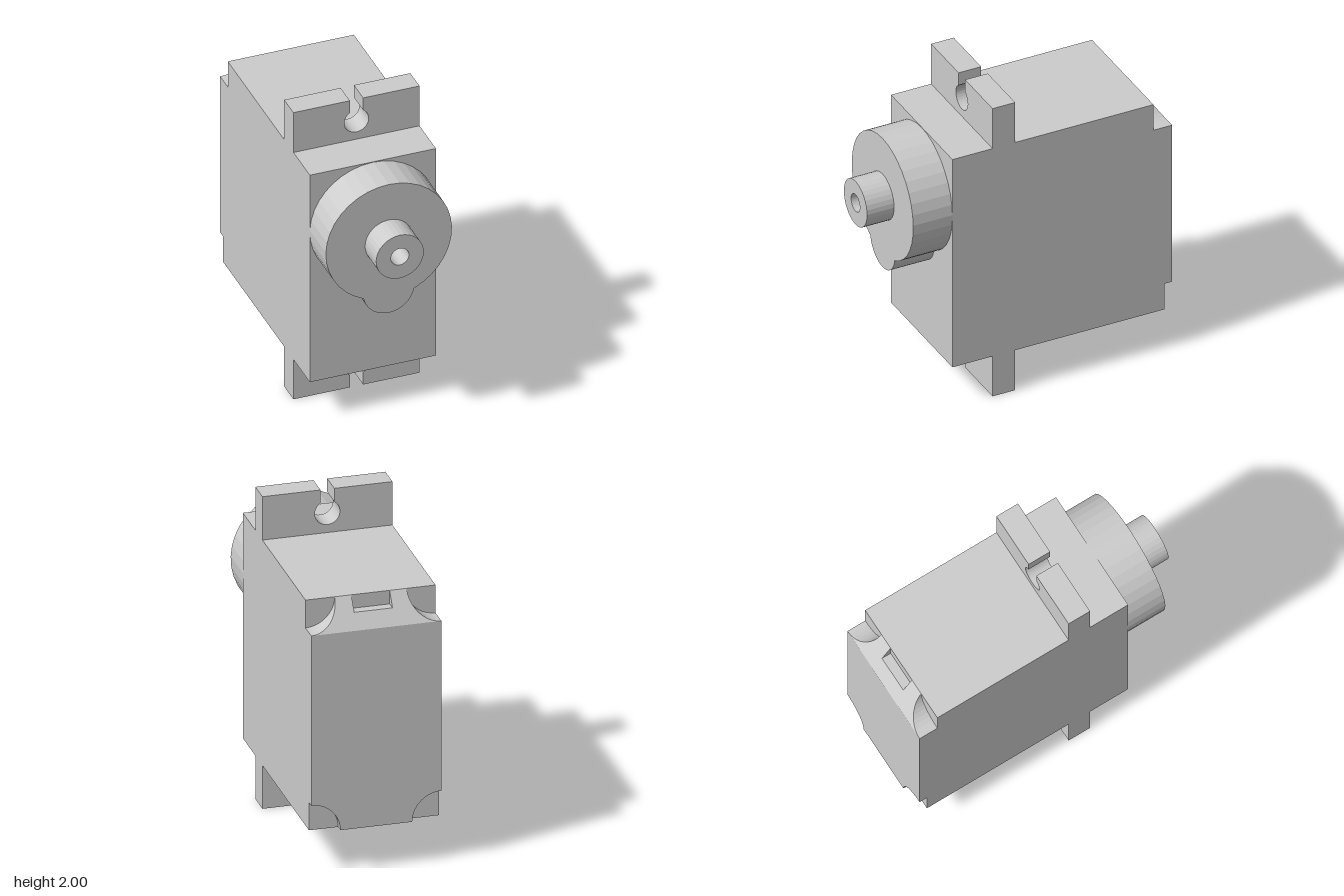
import * as THREE from 'three';

const HALF = 0.397;                       // half width of the case
const TOP = 1.722, BOTTOM = 0.278;        // case height range
const FRONT = 0.59, BACK = -0.856, BACK_TOP = -0.733;
const R = 0.178;                          // screw corner radius
const POCKET = 0.117;                     // half width of the rear pocket

// Side profile (z, y) of the case at a given x
function caseProfile(x, inPocket) {
  const d = HALF - Math.abs(x);
  const h = Math.sqrt(Math.max(0, R * R - d * d));
  const topCut = inPocket ? 1.635 : TOP - h;
  const lowCut = BOTTOM + h;
  const slopeZ = BACK_TOP - (TOP - topCut) * (BACK_TOP - BACK) / R;
  return [
    [FRONT, BOTTOM], [FRONT, TOP], [BACK_TOP, TOP], [BACK_TOP, topCut],
    [slopeZ, topCut], [BACK, TOP - R], [BACK, lowCut], [BACK + 0.05, lowCut],
    [BACK + 0.05, BOTTOM],
  ];
}

// Case lofted across its width, with screw corners, rear bevel and pocket
function caseGeometry() {
  const stations = [];
  const N = 10;
  for (let i = 0; i <= N; i++) {
    stations.push([-HALF + R * Math.sin((i / N) * Math.PI / 2), false]);
  }
  stations.push([-POCKET, false], [-POCKET, true], [POCKET, true], [POCKET, false]);
  for (let i = N; i >= 0; i--) {
    stations.push([HALF - R * Math.sin((i / N) * Math.PI / 2), false]);
  }
  const rings = stations.map(([x, p]) => caseProfile(x, p).map(([z, y]) => [x, y, z]));
  const pos = [];
  const tri = (a, b, c) => pos.push(...a, ...b, ...c);
  for (let i = 0; i < rings.length - 1; i++) {
    const A = rings[i], B = rings[i + 1];
    for (let k = 0; k < A.length; k++) {
      const n = (k + 1) % A.length;
      tri(A[k], B[k], B[n]);
      tri(A[k], B[n], A[n]);
    }
  }
  // side walls
  const first = rings[0], last = rings[rings.length - 1];
  const outline = first.map(([, y, z]) => new THREE.Vector2(z, y));
  for (const [a, b, c] of THREE.ShapeUtils.triangulateShape(outline, [])) {
    tri(first[a], first[b], first[c]);
    tri(last[a], last[c], last[b]);
  }
  const g = new THREE.BufferGeometry();
  g.setAttribute('position', new THREE.Float32BufferAttribute(pos, 3));
  g.computeVertexNormals();
  return g;
}

// Straight extrusion between two depths
function slab(shape, z0, z1, curveSegments = 16) {
  const g = new THREE.ExtrudeGeometry(shape, { depth: z1 - z0, bevelEnabled: false, curveSegments });
  return g.translate(0, 0, z0);
}

export function createModel() {
  const grey = new THREE.MeshStandardMaterial({ color: 0xcccccc });
  grey.name = 'light grey plastic';

  const model = new THREE.Group();
  model.name = 'servoMotor';
  const add = (name, geometry) => {
    const m = new THREE.Mesh(geometry, grey);
    m.name = name;
    model.add(m);
    return m;
  };

  add('case', caseGeometry());

  // Mounting ears with a screw hole open to the outer edge
  const slot = 0.042, hole = 0.077, a = Math.acos(slot / hole);
  const ear = new THREE.Shape();
  ear.moveTo(-HALF, TOP);
  ear.lineTo(HALF, TOP);
  ear.lineTo(HALF, 2);
  ear.lineTo(slot, 2);
  ear.absarc(0, 1.85, hole, a, Math.PI - a, true);
  ear.lineTo(-slot, 2);
  ear.lineTo(-HALF, 2);
  ear.closePath();
  const earGeometry = slab(ear, 0.177, 0.326, 12);
  add('upperMountingEar', earGeometry);
  const lower = add('lowerMountingEar', earGeometry);
  lower.rotation.z = Math.PI;
  lower.position.y = 2;

  // Round gear housing with a smaller lobe below it
  const cy = 1.322, ly = 0.985, lr = 0.16, d = cy - ly;
  const alpha = Math.acos((d * d + HALF * HALF - lr * lr) / (2 * d * HALF));
  const beta = Math.acos((d * d + lr * lr - HALF * HALF) / (2 * d * lr));
  const lobe = Math.PI - beta;
  const housing = new THREE.Shape();
  housing.absarc(0, cy, HALF, -Math.PI / 2 + alpha, 1.5 * Math.PI - alpha, false);
  housing.absarc(0, ly, lr, -Math.PI / 2 - lobe, -Math.PI / 2 + lobe, false);
  add('gearHousing', slab(housing, FRONT, 0.848));

  // Hollow output shaft
  const shaft = new THREE.Shape();
  shaft.absarc(0, cy, 0.15, 0, Math.PI * 2, false);
  const bore = new THREE.Path();
  bore.absarc(0, cy, 0.057, 0, Math.PI * 2, true);
  shaft.holes.push(bore);
  add('outputShaft', slab(shaft, 0.848, 1.026));
  add('boreFloor', new THREE.CircleGeometry(0.06, 32).translate(0, cy, 0.852));

  // The whole unit stands turned towards its left
  model.rotation.y = 0.751;
  return model;
}
